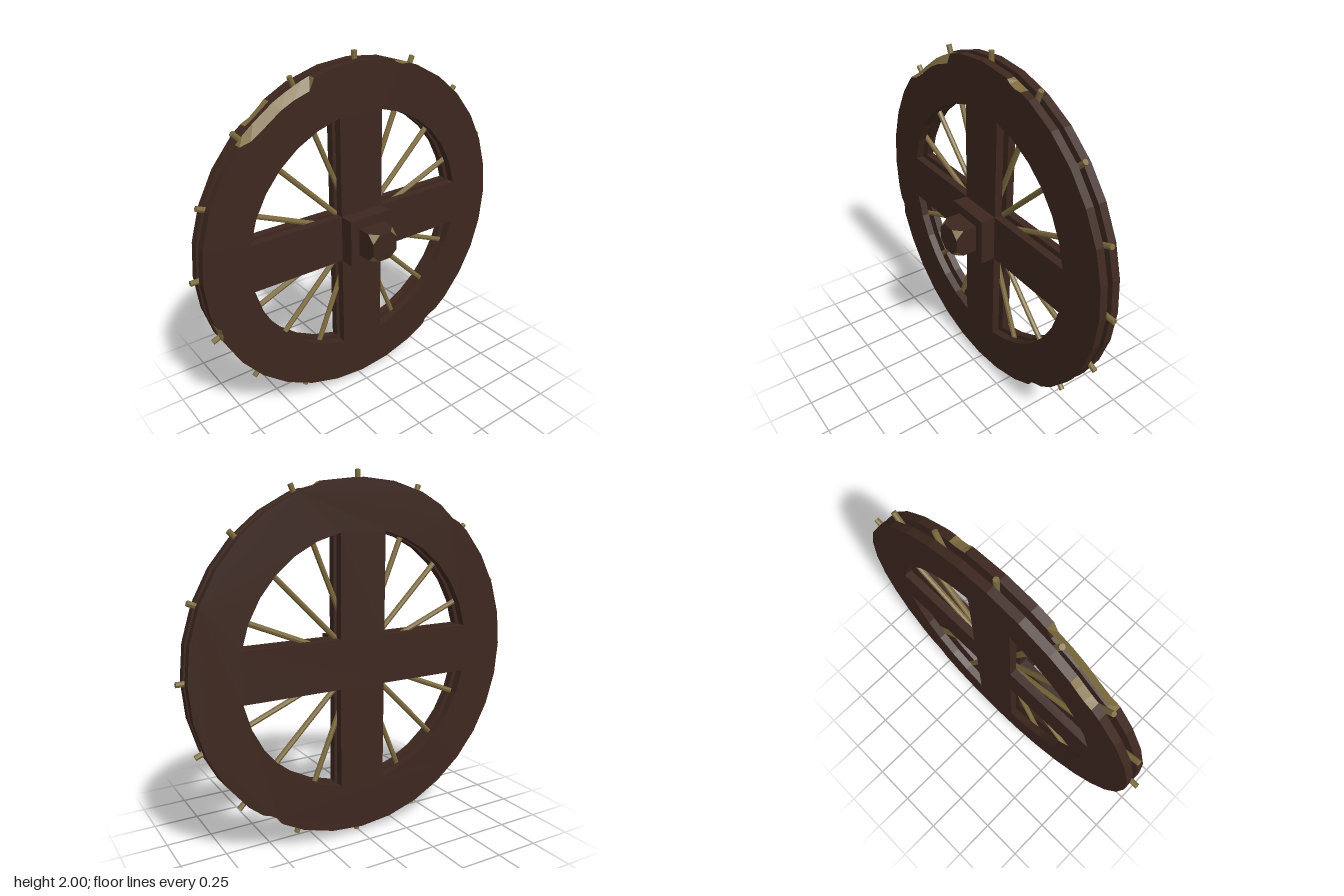
import * as THREE from 'three';
import { ConvexGeometry } from 'three/addons/geometries/ConvexGeometry.js';

const SIDES = 32, STEP = (Math.PI * 2) / SIDES;
const OUTER = 0.96, INNER = 0.7, ARM = 0.135, THICK = 0.045;
const rad = (deg) => (deg * Math.PI) / 180;

const darkWood = new THREE.MeshStandardMaterial({ color: 0x3d271f, flatShading: true });
const paleWood = new THREE.MeshStandardMaterial({ color: 0x7d6b3e, flatShading: true });
const bareWood = new THREE.MeshStandardMaterial({ color: 0x7d6b3e, flatShading: true, side: THREE.DoubleSide });

// Chips in the outer edge: [angle in degrees, depth at the front, depth at the back]
const frontChips = [
  [[71, 0, 0], [73.5, 0.012, 0.002], [76, 0.01, 0.002], [77.5, 0, 0]],
  [[107, 0, 0], [109.9, 0.05, 0.002], [115.9, 0.042, 0.003], [121, 0.04, 0.003],
    [129, 0.04, 0.003], [133.7, 0.032, 0.002], [137, 0, 0]],
  [[196, 0, 0], [198, 0.018, 0.003], [200, 0.015, 0.003], [202, 0, 0]],
  [[301, 0, 0], [303, 0.022, 0.016], [306, 0.016, 0.014], [309, 0, 0]],
];
const backChips = [
  [[121, 0, 0], [124, 0.008, 0.012], [128, 0.006, 0.012], [131, 0, 0]],
  [[301, 0, 0], [303, 0.016, 0.02], [306, 0.014, 0.018], [309, 0, 0]],
];

// Radius of the many-sided rim at an angle
function rimRadius(a) {
  const local = ((a % STEP) + STEP) % STEP;
  return (OUTER * Math.cos(STEP / 2)) / Math.cos(local - STEP / 2);
}

const polar = (a, r) => new THREE.Vector2(Math.cos(a) * r, Math.sin(a) * r);

// Rim and cross arms cut from one board, with four openings
function boardGeometry(chips) {
  const corners = [];
  for (let i = 0; i < SIDES; i++) {
    const a = i * STEP;
    const chipped = chips.some((c) => a >= rad(c[0][0]) && a <= rad(c[c.length - 1][0]));
    if (!chipped) corners.push([a, OUTER]);
  }
  for (const chip of chips) {
    for (const [deg, f, b] of chip) {
      const a = rad(deg);
      corners.push([a, rimRadius(a) - Math.max(f, b)]);
    }
  }
  corners.sort((p, q) => p[0] - q[0]);
  const shape = new THREE.Shape(corners.map(([a, r]) => polar(a, r)));

  const edge = Math.sqrt(INNER * INNER - ARM * ARM);
  const opening = [new THREE.Vector2(ARM, ARM), new THREE.Vector2(edge, ARM)];
  for (let i = 2; i <= 6; i++) opening.push(polar(i * STEP, INNER));
  opening.push(new THREE.Vector2(ARM, edge));
  for (let q = 0; q < 4; q++) {
    const turned = opening.map((p) => p.clone().rotateAround(new THREE.Vector2(), (q * Math.PI) / 2));
    shape.holes.push(new THREE.Path(turned));
  }
  return new THREE.ExtrudeGeometry(shape, { depth: THICK, bevelEnabled: false });
}

// Sloping bare surface across one chip
function chipGeometry(chip) {
  const pos = [], index = [];
  chip.forEach(([deg, f, b], i) => {
    const a = rad(deg), r = rimRadius(a) + 0.001;
    const front = polar(a, r - f), back = polar(a, r - b);
    pos.push(front.x, front.y, THICK, back.x, back.y, 0);
    if (i > 0) {
      const k = 2 * i;
      index.push(k - 2, k - 1, k, k, k - 1, k + 1);
    }
  });
  const g = new THREE.BufferGeometry();
  g.setAttribute('position', new THREE.Float32BufferAttribute(pos, 3));
  g.setIndex(index);
  g.computeVertexNormals();
  return g;
}

function makeBoard(name, chips, z) {
  const board = new THREE.Group();
  board.name = name;
  board.position.z = z;
  const wood = new THREE.Mesh(boardGeometry(chips), darkWood);
  wood.name = name + 'Wood';
  board.add(wood);
  for (const chip of chips) {
    const patch = new THREE.Mesh(chipGeometry(chip), bareWood);
    patch.name = 'chippedEdge';
    board.add(patch);
  }
  return board;
}

// Square axle end with its four front corners cut off
function makeAxle() {
  const axle = new THREE.Group();
  axle.name = 'axle';
  const h = 0.08, c = 0.036, z0 = 0.03, z1 = 0.12, z2 = 0.165;
  const points = [], cuts = [];
  for (const sx of [-1, 1]) {
    for (const sy of [-1, 1]) {
      const corner = [
        new THREE.Vector3(sx * h, sy * c, z2),
        new THREE.Vector3(sx * c, sy * h, z2),
        new THREE.Vector3(sx * h, sy * h, z1),
      ];
      points.push(...corner, new THREE.Vector3(sx * h, sy * h, z0));
      const lift = new THREE.Vector3(sx, sy, 1).multiplyScalar(0.001);
      cuts.push(...corner.map((p) => p.clone().add(lift)));
    }
  }
  const block = new THREE.Mesh(new ConvexGeometry(points), darkWood);
  block.name = 'axleBlock';
  const cutGeometry = new THREE.BufferGeometry().setFromPoints(cuts);
  cutGeometry.computeVertexNormals();
  const cutCorners = new THREE.Mesh(cutGeometry, bareWood);
  cutCorners.name = 'axleCutCorners';
  axle.add(block, cutCorners);
  return axle;
}

export function createModel() {
  const wheel = new THREE.Group();
  wheel.name = 'wheel';

  // Two boards with a narrow gap between them
  wheel.add(makeBoard('frontBoard', frontChips, -0.09));
  wheel.add(makeBoard('backBoard', backChips, -0.165));

  // Rods run through the gap and stick out past the rim as pegs
  const rodGeometry = new THREE.CylinderGeometry(0.015, 0.015, 2, 8);
  for (let i = 0; i < 8; i++) {
    const rod = new THREE.Mesh(rodGeometry, paleWood);
    rod.name = 'spokeRod';
    rod.position.z = -0.105;
    rod.rotation.z = (i * Math.PI) / 8;
    wheel.add(rod);
  }

  // Hub block and axle on the front
  const hub = new THREE.Mesh(new THREE.BoxGeometry(ARM * 2, ARM * 2, 0.09), darkWood);
  hub.name = 'hubBlock';
  hub.position.z = -0.005;
  wheel.add(hub, makeAxle());

  wheel.position.y = 1;
  const model = new THREE.Group();
  model.name = 'spokedWheel';
  model.add(wheel);
  return model;
}
